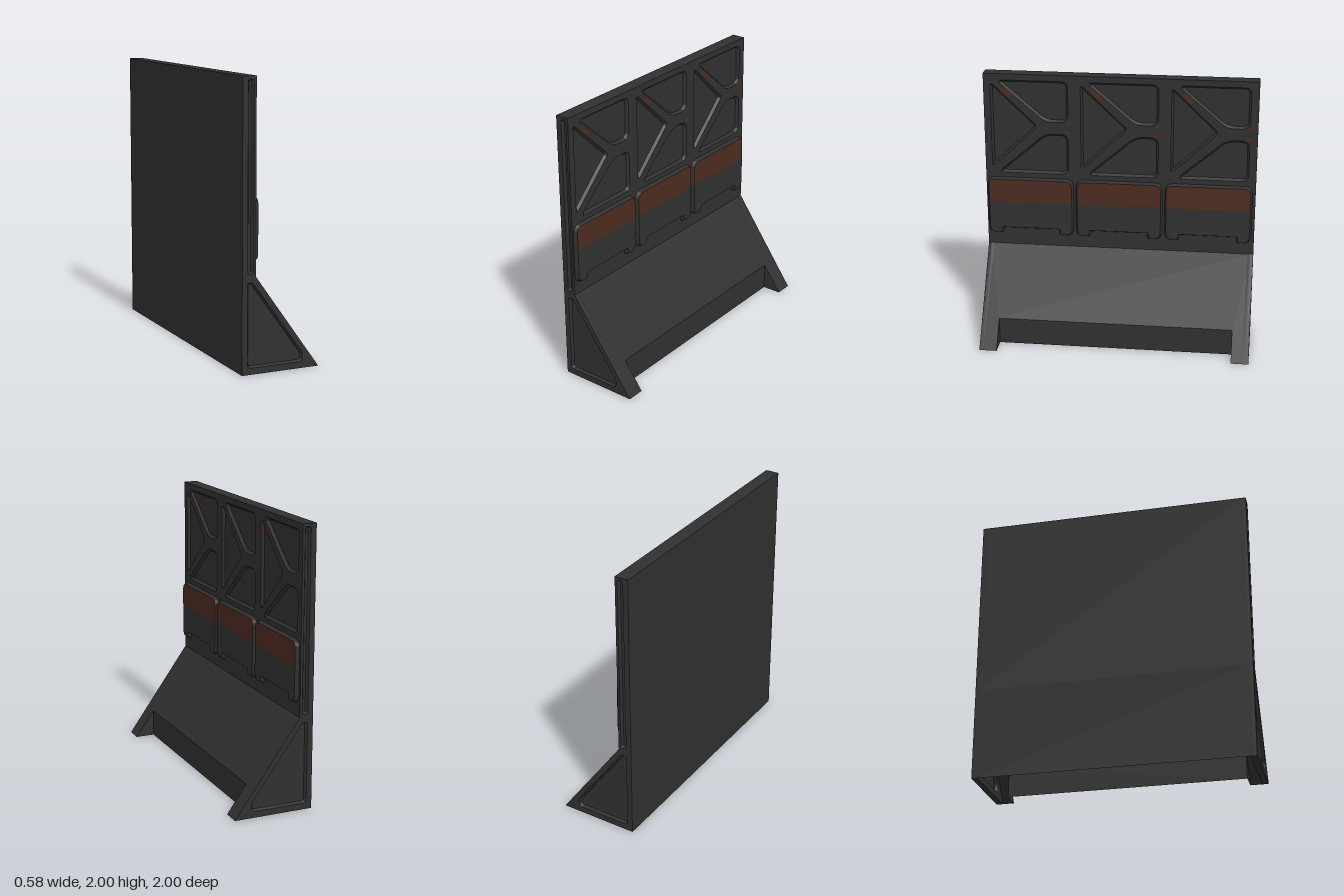
import * as THREE from 'three';

const dark = new THREE.MeshStandardMaterial({ color: 0x303030, side: THREE.DoubleSide });
dark.name = 'darkGrey';
const rust = new THREE.MeshStandardMaterial({ color: 0x4c2c20 });
rust.name = 'rustBrown';

const FACE = -0.19, BACK = -0.29, PITCH = 0.662, SLOPE_TOP = 0.67;
const slopeX = (y) => 0.29 - 0.48 * (y / SLOPE_TOP);

// Closed outline from [x, y, cornerRadius] points
function outline(points, Type = THREE.Shape) {
  const path = new Type();
  const n = points.length;
  points.forEach(([x, y, r = 0], i) => {
    const toward = ([px, py]) => {
      const l = Math.hypot(px - x, py - y);
      return [x + ((px - x) * r) / l, y + ((py - y) * r) / l];
    };
    const a = toward(points[(i + n - 1) % n]);
    const b = toward(points[(i + 1) % n]);
    if (i === 0) path.moveTo(...a); else path.lineTo(...a);
    if (r > 0) path.quadraticCurveTo(x, y, ...b);
  });
  path.closePath();
  return path;
}

// Bevelled plate, its front cap at z = 0; clamp trims the outer edge
function bevelPlate(shape, depth, bevel, clamp) {
  const geo = new THREE.ExtrudeGeometry(shape, {
    depth: 0.005, bevelEnabled: true, bevelThickness: depth, bevelSize: bevel, bevelSegments: 1, curveSegments: 4,
  });
  geo.translate(0, 0, -0.005 - depth);
  const p = geo.attributes.position;
  for (let i = 0; i < p.count; i++) {
    const [x, y] = clamp(p.getX(i), p.getY(i));
    p.setXY(i, x, y);
  }
  geo.computeVertexNormals();
  return geo;
}

const clampTo = THREE.MathUtils.clamp;

export function createModel() {
  const model = new THREE.Group();
  const add = (name, geo, mat = dark, x = 0, y = 0, z = 0) => {
    const mesh = new THREE.Mesh(geo, mat);
    mesh.name = name;
    mesh.position.set(x, y, z);
    model.add(mesh);
    return mesh;
  };
  // Turns an x/y drawing to face +x
  const addSide = (name, geo, mat, x) => add(name, geo.rotateY(Math.PI / 2), mat, x);

  // Wall core
  add('wallCore', new THREE.BoxGeometry(0.08, 2 - SLOPE_TOP, 1.96), dark, -0.25, (2 + SLOPE_TOP) / 2, 0);

  // Recesses of one module: triangle and two mirrored corner pockets
  const triangle = [[0.05, 1.92], [0.07, 1.92], [0.395, 1.61, 0.03], [0.07, 1.30], [0.05, 1.30]];
  const upperPocket = [
    [0.12, 1.955], [0.62, 1.955, 0.05], [0.62, 1.645, 0.06], [0.45, 1.645, 0.06], [0.12, 1.93],
  ];
  const lowerPocket = upperPocket.map(([u, y, r]) => [u, 3.2 - y, r]);
  const shift = (pts, k) => pts.map(([u, y, r]) => [u - 1 + k * PITCH, y, r]);

  // Wall face with recesses
  const face = outline([[-0.98, SLOPE_TOP], [0.98, SLOPE_TOP], [0.98, 2], [-0.98, 2]]);
  for (let k = 0; k < 3; k++) {
    for (const pts of [triangle, upperPocket, lowerPocket]) face.holes.push(outline(shift(pts, k), THREE.Path));
  }
  addSide('wallFace', bevelPlate(face, 0.02, 0.015,
    (x, y) => [clampTo(x, -0.98, 0.98), clampTo(y, SLOPE_TOP, 2)]), dark, FACE);

  // Raised panels, split in two colours, and painted marks
  const SPLIT = 1.02;
  const topHalf = [[0.022, 1.0], [0.643, 1.0], [0.643, 1.195, 0.05], [0.022, 1.195, 0.05]];
  const bottomHalf = [
    [0.022, 1.04], [0.022, 0.77, 0.05], [0.11, 0.77, 0.015], [0.11, 0.815, 0.015],
    [0.555, 0.815, 0.015], [0.555, 0.77, 0.015], [0.643, 0.77, 0.05], [0.643, 1.04],
  ];
  const diagonalMark = [[0.115, 1.878], [0.15, 1.904], [0.225, 1.839], [0.175, 1.822]];
  const cornerMark = [[0.595, 1.635], [0.615, 1.627], [0.64, 1.64], [0.635, 1.66], [0.605, 1.655]];
  for (let k = 0; k < 3; k++) {
    addSide('panelTop', bevelPlate(outline(shift(topHalf, k)), 0.025, 0.012,
      (x, y) => [x, Math.max(y, SPLIT)]), [rust, dark], -0.163);
    addSide('panelBottom', bevelPlate(outline(shift(bottomHalf, k)), 0.025, 0.012,
      (x, y) => [x, Math.min(y, SPLIT)]), dark, -0.163);
    const marks = [diagonalMark, cornerMark, cornerMark.map(([u, y]) => [u, 3.208 - y])];
    for (const pts of marks) addSide('paintMark', new THREE.ShapeGeometry(outline(shift(pts, k))), rust, FACE + 0.001);
    for (const u of [0.082, 0.583]) {
      const dot = new THREE.CircleGeometry(0.018, 6).translate(u - 1 + k * PITCH, 0.825, 0);
      addSide('panelDot', dot, rust, -0.162);
    }
  }

  // Sloped base shell, open below, with a toe notch between two feet
  const slope = new THREE.ShapeGeometry(outline([
    [-0.98, 0], [-0.87, 0], [-0.87, 0.2], [0.87, 0.2], [0.87, 0], [0.98, 0], [0.98, SLOPE_TOP], [-0.98, SLOPE_TOP],
  ])).rotateY(Math.PI / 2);
  const sp = slope.attributes.position;
  for (let i = 0; i < sp.count; i++) sp.setX(i, slopeX(sp.getY(i)));
  slope.computeVertexNormals();
  add('baseSlope', slope);
  addSide('toeNotch', new THREE.PlaneGeometry(1.74, 0.2).translate(0, 0.1, 0), dark, slopeX(0.2));
  add('baseBack', new THREE.PlaneGeometry(1.96, SLOPE_TOP).rotateY(-Math.PI / 2), dark, BACK, SLOPE_TOP / 2, 0);

  // End plates with a tall slot and a triangular recess
  const end = outline([[BACK, 0], [0.29, 0], [FACE, SLOPE_TOP], [FACE, 2], [BACK, 2]]);
  end.holes.push(outline([[-0.25, 0.69, 0.015], [-0.208, 0.69, 0.015], [-0.208, 1.98, 0.015], [-0.25, 1.98, 0.015]], THREE.Path));
  end.holes.push(outline([[-0.25, 0.63], [-0.212, 0.63], [0.165, 0.11, 0.02], [0.165, 0.045, 0.03], [-0.25, 0.045, 0.03]], THREE.Path));
  const endGeo = bevelPlate(end, 0.02, 0.012, (x, y) => {
    const cy = clampTo(y, 0, 2);
    return [clampTo(x, BACK, Math.max(FACE, slopeX(cy))), cy];
  });
  const recessFloor = new THREE.ShapeGeometry(outline([[-0.28, 0.01], [0.27, 0.01], [-0.2, 0.66], [-0.28, 0.66]]));
  const footSide = new THREE.ShapeGeometry(outline([[slopeX(0.2), 0], [0.29, 0], [slopeX(0.2), 0.2]]));
  for (const s of [1, -1]) {
    add('endPlate', endGeo, dark, 0, 0, s > 0 ? 1 : -0.955);
    add('endRecessFloor', recessFloor, dark, 0, 0, s * 0.98);
    add('footSide', footSide, dark, 0, 0, s * 0.87);
  }
  return model;
}
